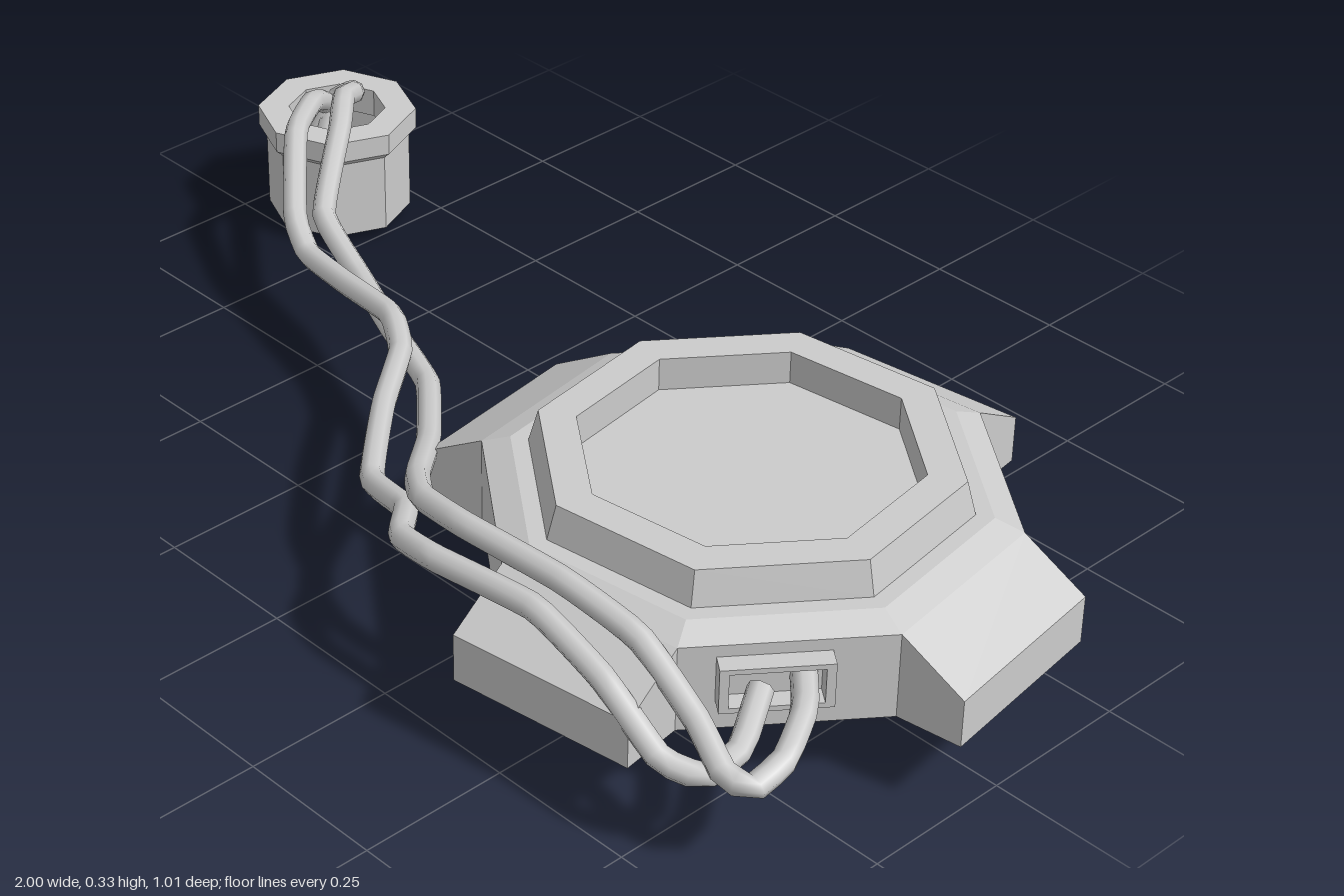
import * as THREE from 'three';

const grey = new THREE.MeshStandardMaterial({ color: 0xcccccc, flatShading: true, side: THREE.DoubleSide });
const smooth = new THREE.MeshStandardMaterial({ color: 0xcccccc });

function add(parent, name, geometry, material = grey) {
  const mesh = new THREE.Mesh(geometry, material);
  mesh.name = name;
  parent.add(mesh);
  return mesh;
}

// Eight-sided turned part from [radius, y] pairs
function octagon(profile) {
  return new THREE.LatheGeometry(profile.map(([r, y]) => new THREE.Vector2(r, y)), 8);
}

// Flat four-cornered panels, corners counter-clockwise from outside
function panels(quads) {
  const pos = quads.flatMap(([a, b, c, d]) => [a, b, c, a, c, d].flat());
  const g = new THREE.BufferGeometry();
  g.setAttribute('position', new THREE.Float32BufferAttribute(pos, 3));
  g.computeVertexNormals();
  return g;
}

const BASE = 0.117, LIP = 0.197, EDGE = 0.261, DECK = 0.278, TOP = 0.333; // heights
const R = 0.41, TURN = Math.PI / 8;                                       // body octagon
const W = R * Math.sin(TURN), A = R * Math.cos(TURN), OUT = 0.487;        // foot half width, wall distance, foot reach

function createHousing() {
  const housing = new THREE.Group();
  housing.name = 'housing';

  // Four hollow feet with a corner wall beside each
  const foot = panels([
    [[-W, BASE, OUT], [W, BASE, OUT], [W, LIP, OUT], [-W, LIP, OUT]],
    [[-W, LIP, OUT], [W, LIP, OUT], [W, EDGE, A], [-W, EDGE, A]],
    [[W, BASE, OUT], [W, BASE, A], [W, EDGE, A], [W, LIP, OUT]],
    [[-W, BASE, A], [-W, BASE, OUT], [-W, LIP, OUT], [-W, EDGE, A]],
  ]);
  const wall = panels([[[W, BASE, A], [A, BASE, W], [A, EDGE, W], [W, EDGE, A]]]);
  for (let i = 0; i < 4; i++) {
    add(housing, 'foot', foot).rotation.y = i * Math.PI / 2;
    add(housing, 'cornerWall', wall).rotation.y = i * Math.PI / 2;
  }

  // Underside plate, sloped shoulder, deck and raised rim
  add(housing, 'undersidePlate', octagon([[0, 0.207], [R, 0.207]])).rotation.y = TURN;
  add(housing, 'shoulder', octagon([[R, EDGE], [0.365, DECK]])).rotation.y = TURN;
  add(housing, 'deck', octagon([[0.365, DECK], [0, DECK]])).rotation.y = TURN;
  add(housing, 'rim', octagon([[0.337, DECK], [0.322, TOP], [0.263, TOP], [0.263, DECK]])).rotation.y = TURN;

  // Rectangular cable socket on the front left corner wall
  const rect = (Type, w, h) => new Type([[-w, -h], [w, -h], [w, h], [-w, h]].map(p => new THREE.Vector2(...p)));
  const frame = rect(THREE.Shape, 0.082, 0.0375);
  frame.holes.push(rect(THREE.Path, 0.068, 0.029));
  const socket = add(housing, 'socket', new THREE.ExtrudeGeometry(frame, { depth: 0.032, bevelEnabled: false }));
  socket.position.set(A * Math.SQRT1_2, 0.204, A * Math.SQRT1_2);
  socket.rotation.y = Math.PI / 4;
  socket.translateX(-0.02);

  housing.position.x = 0.495;
  housing.rotation.y = 0.14;
  return housing;
}

function createPlug() {
  const plug = new THREE.Group();
  plug.name = 'plug';
  // Open shell with a flanged collar
  add(plug, 'plugShell', octagon([
    [0.115, 0.023], [0.126, 0.023], [0.126, 0.165], [0.139, 0.177], [0.139, 0.215],
    [0.085, 0.215], [0.085, 0.165], [0.115, 0.15], [0.115, 0.023],
  ]));
  // Contact pins with tapered tips
  const pin = new THREE.LatheGeometry(
    [[0, 0], [0.009, 0.003], [0.018, 0.025], [0.018, 0.17], [0, 0.175]].map(p => new THREE.Vector2(...p)), 8);
  for (const x of [-0.041, 0.001]) for (const z of [0.025, 0.065]) {
    add(plug, 'pin', pin, smooth).position.set(x, 0, z);
  }
  plug.position.set(-0.861, 0, -0.357);
  return plug;
}

// Tube with fairly tight bends through the given points
function createCable(name, points) {
  const curve = new THREE.CatmullRomCurve3(points.map(p => new THREE.Vector3(...p)), false, 'catmullrom', 0.2);
  const cable = new THREE.Mesh(new THREE.TubeGeometry(curve, 90, 0.02, 8), smooth);
  cable.name = name;
  return cable;
}

export function createModel() {
  const model = new THREE.Group();
  model.name = 'sensorWithCable';
  model.add(createHousing(), createPlug());

  // Two loosely twisted cables from plug to socket
  model.add(createCable('innerCable', [
    [-0.90, 0.1, -0.32], [-0.89, 0.21, -0.355], [-0.84, 0.26, -0.285], [-0.77, 0.265, -0.19],
    [-0.65, 0.19, -0.085], [-0.58, 0.16, -0.055], [-0.45, 0.175, -0.025], [-0.3, 0.195, 0.005],
    [-0.22, 0.185, 0.055], [-0.13, 0.175, 0.17], [0, 0.165, 0.305], [0.13, 0.2, 0.35],
    [0.2, 0.22, 0.42], [0.3, 0.245, 0.443], [0.5, 0.26, 0.433], [0.65, 0.225, 0.443],
    [0.77, 0.16, 0.45], [0.825, 0.145, 0.42], [0.835, 0.165, 0.36], [0.79, 0.2, 0.275],
  ]));
  model.add(createCable('outerCable', [
    [-0.865, 0.1, -0.32], [-0.885, 0.2, -0.36], [-0.87, 0.23, -0.378], [-0.825, 0.255, -0.37],
    [-0.785, 0.282, -0.31], [-0.73, 0.268, -0.255], [-0.61, 0.2, -0.115], [-0.47, 0.165, -0.07],
    [-0.3, 0.16, 0], [-0.15, 0.16, 0.06], [0, 0.185, 0.19], [0.1, 0.22, 0.3], [0.18, 0.25, 0.36],
    [0.3, 0.275, 0.385], [0.5, 0.282, 0.38], [0.65, 0.262, 0.375], [0.78, 0.2, 0.39],
    [0.86, 0.165, 0.415], [0.9, 0.16, 0.4], [0.9, 0.175, 0.34], [0.86, 0.195, 0.26], [0.81, 0.205, 0.21],
  ]));
  return model;
}
